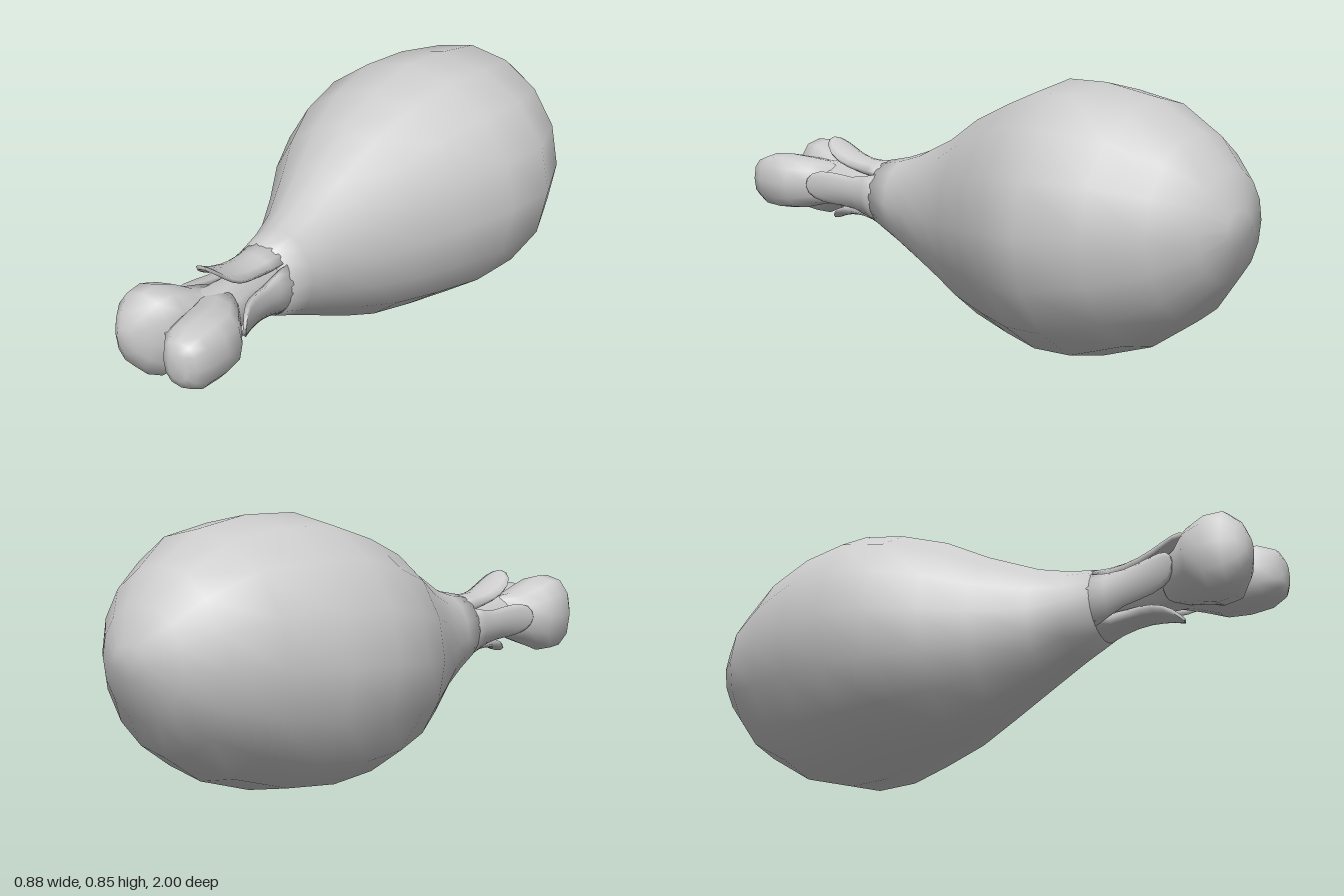
import * as THREE from 'three';

const material = new THREE.MeshStandardMaterial({ color: 0xcccccc, side: THREE.DoubleSide });

// Skins a closed solid over equal-length rings that run counter-clockwise towards +z
function loft(name, rings) {
  const n = rings[0].length, index = [];
  const points = rings.flat();
  for (let i = 0; i < rings.length - 1; i++) {
    for (let j = 0; j < n; j++) {
      const a = i * n + j, b = i * n + (j + 1) % n;
      index.push(a, b, b + n, a, b + n, a + n);
    }
  }
  // End caps
  const middle = (ring) => ring.reduce((s, p) => s.add(p), new THREE.Vector3()).divideScalar(n);
  const first = points.length, last = first + 1, base = (rings.length - 1) * n;
  points.push(middle(rings[0]), middle(rings[rings.length - 1]));
  for (let j = 0; j < n; j++) {
    const k = (j + 1) % n;
    index.push(first, k, j, last, base + j, base + k);
  }
  const geometry = new THREE.BufferGeometry().setFromPoints(points);
  geometry.setIndex(index);
  geometry.computeVertexNormals();
  const mesh = new THREE.Mesh(geometry, material);
  mesh.name = name;
  return mesh;
}

// Rounded ring fitted between x0..x1 and y0..y1; a power below 1 squares it off
function ring([z, x0, x1, y0, y1], sides, power = 1) {
  const bend = (v) => Math.sign(v) * Math.abs(v) ** power;
  return Array.from({ length: sides }, (_, j) => {
    const a = (j / sides) * Math.PI * 2;
    return new THREE.Vector3(
      (x0 + x1) / 2 + bend(Math.cos(a)) * (x1 - x0) / 2,
      (y0 + y1) / 2 + bend(Math.sin(a)) * (y1 - y0) / 2, z);
  });
}

// Torn flap of skin: a curved strip that narrows to a rounded, flared tip
function flap(name, angle, tipZ, spread) {
  const rings = [], across = 6, steps = 8;
  for (let i = 0; i <= steps; i++) {
    const t = Math.sin((i / steps) * Math.PI / 2);
    const z = 0.44 + (tipZ - 0.44) * t;
    const half = THREE.MathUtils.lerp(0.82, spread, Math.min(1, t * 2.5)) * Math.sqrt(1.002 - t ** 5);
    const cx = -0.037 + 0.007 * t, cy = 0.41 + 0.035 * t;
    const rx = 0.108 - 0.05 * t + 0.082 * t * t;
    const ry = 0.12 - 0.085 * t + 0.11 * t * t;
    const thick = 0.03 - 0.018 * t;
    const at = (u, inset) => new THREE.Vector3(
      cx + Math.cos(angle + u * half) * (rx - inset),
      cy + Math.sin(angle + u * half) * (ry - inset), z);
    const outer = [], inner = [];
    for (let j = 0; j <= across; j++) {
      const u = (j / across) * 2 - 1;
      outer.push(at(u, 0));
      inner.unshift(at(u, thick));
    }
    rings.push([...outer, ...inner]);
  }
  return loft(name, rings);
}

export function createModel() {
  const model = new THREE.Group();
  model.name = 'drumstick';

  // Meat: z, then left-right and bottom-top limits
  const meat = [
    [-1, -0.06, 0.07, 0.42, 0.52],
    [-0.96, -0.17, 0.16, 0.30, 0.63],
    [-0.87, -0.25, 0.27, 0.18, 0.73],
    [-0.72, -0.33, 0.375, 0.08, 0.82],
    [-0.53, -0.41, 0.436, 0.018, 0.853],
    [-0.36, -0.44, 0.395, 0.002, 0.853],
    [-0.2, -0.425, 0.315, 0.018, 0.80],
    [-0.04, -0.36, 0.235, 0.052, 0.735],
    [0.1, -0.28, 0.16, 0.11, 0.652],
    [0.26, -0.197, 0.108, 0.195, 0.578],
    [0.36, -0.165, 0.085, 0.247, 0.547],
    [0.45, -0.145, 0.071, 0.29, 0.53],
  ];
  model.add(loft('meat', meat.map((s) => ring(s, 16))));

  // Four flaps of skin around the bone
  model.add(flap('leftFlap', -0.12, 0.73, 0.58));
  model.add(flap('topFlap', Math.PI / 2, 0.73, 0.72));
  model.add(flap('rightFlap', Math.PI + 0.12, 0.74, 0.58));
  model.add(flap('bottomFlap', -Math.PI / 2, 0.71, 0.62));

  // Bone shaft, ending in the saddle between the knobs
  const shaft = [
    [0.4, -0.1, 0.04, 0.34, 0.48],
    [0.6, -0.1, 0.04, 0.35, 0.5],
    [0.72, -0.12, 0.07, 0.35, 0.51],
    [0.82, -0.14, 0.1, 0.36, 0.5],
    [0.92, -0.1, 0.06, 0.39, 0.47],
  ];
  model.add(loft('boneShaft', shaft.map((s) => ring(s, 10))));

  // Bone knobs
  const rightKnob = [
    [0.68, -0.12, 0.02, 0.36, 0.5],
    [0.74, -0.165, 0.02, 0.34, 0.51],
    [0.79, -0.215, 0.01, 0.315, 0.54],
    [0.85, -0.223, 0, 0.292, 0.565],
    [0.91, -0.215, -0.015, 0.295, 0.563],
    [0.95, -0.19, -0.06, 0.34, 0.52],
    [0.97, -0.165, -0.1, 0.39, 0.47],
  ];
  const leftKnob = [
    [0.68, -0.08, 0.05, 0.36, 0.5],
    [0.74, -0.07, 0.1, 0.35, 0.51],
    [0.8, -0.05, 0.148, 0.335, 0.522],
    [0.87, -0.035, 0.155, 0.33, 0.527],
    [0.94, -0.02, 0.15, 0.335, 0.522],
    [0.985, 0.015, 0.135, 0.36, 0.505],
    [1, 0.045, 0.11, 0.39, 0.475],
  ];
  model.add(loft('rightKnob', rightKnob.map((s) => ring(s, 12, 0.85))));
  model.add(loft('leftKnob', leftKnob.map((s) => ring(s, 12, 0.8))));

  return model;
}
